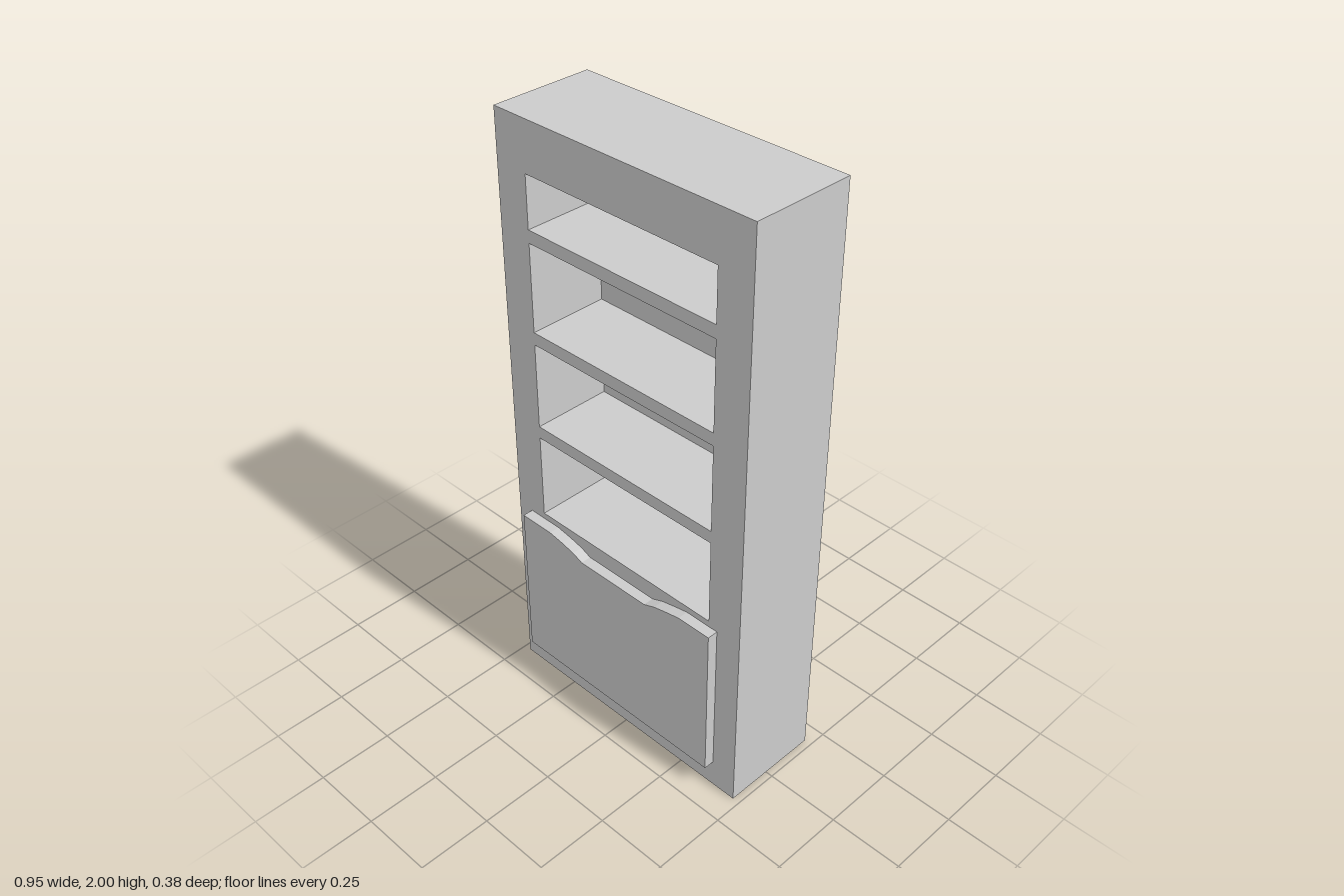
import * as THREE from 'three';

const W = 0.95, H = 2, BACK = -0.19, FRONT = 0.154;
const NICHE = { x0: -0.359, x1: 0.354, depth: 0.27 };
// bottom and top height of each shelf niche
const LEVELS = [[0.665, 0.957], [0.999, 1.291], [1.333, 1.625], [1.667, 1.837]];

const material = new THREE.MeshStandardMaterial({ color: 0xcccccc, side: THREE.DoubleSide });

// box given by its corners, without the listed faces (0..5: +x -x +y -y +z -z)
function openBox(x0, x1, y0, y1, z0, z1, skip) {
  const geo = new THREE.BoxGeometry(x1 - x0, y1 - y0, z1 - z0);
  geo.translate((x0 + x1) / 2, (y0 + y1) / 2, (z0 + z1) / 2);
  const index = Array.from(geo.index.array).filter((_, i) => !skip.includes(Math.floor(i / 6)));
  geo.setIndex(index);
  geo.clearGroups();
  return geo;
}

function rectangle(x0, x1, y0, y1, Type = THREE.Shape) {
  return new Type([[x0, y0], [x1, y0], [x1, y1], [x0, y1]].map(([x, y]) => new THREE.Vector2(x, y)));
}

export function createModel() {
  const group = new THREE.Group();
  const add = (name, geo) => {
    const mesh = new THREE.Mesh(geo, material);
    mesh.name = name;
    group.add(mesh);
  };

  // thin outer shell, open underneath
  add('cabinetShell', openBox(-W / 2, W / 2, 0, H, BACK, FRONT, [3, 4]));

  // front face with the niche openings
  const face = rectangle(-W / 2, W / 2, 0, H);
  for (const [y0, y1] of LEVELS) face.holes.push(rectangle(NICHE.x0, NICHE.x1, y0, y1, THREE.Path));
  add('frontPanel', new THREE.ShapeGeometry(face).translate(0, 0, FRONT));

  // recessed shelf niches, open to the front
  LEVELS.forEach(([y0, y1], i) => {
    const geo = openBox(NICHE.x0, NICHE.x1, y0, y1, FRONT - NICHE.depth, FRONT, [4]);
    // turn the faces and normals inwards
    geo.index.array.reverse();
    const n = geo.attributes.normal;
    for (let k = 0; k < n.array.length; k++) n.array[k] *= -1;
    add(`shelfNiche${i + 1}`, geo);
  });

  // lower door with a scooped hand grip along its top edge
  const outline = [
    [-0.418, 0.098], [0.387, 0.098], [0.387, 0.644], [0.267, 0.644], [0.215, 0.634], [0.166, 0.623],
    [0.124, 0.607], [-0.15, 0.607], [-0.188, 0.623], [-0.24, 0.635], [-0.293, 0.644], [-0.418, 0.644],
  ];
  const door = new THREE.Shape(outline.map(([x, y]) => new THREE.Vector2(x, y)));
  add('door', new THREE.ExtrudeGeometry(door, { depth: 0.19 - FRONT, bevelEnabled: false }).translate(0, 0, FRONT));

  return group;
}
